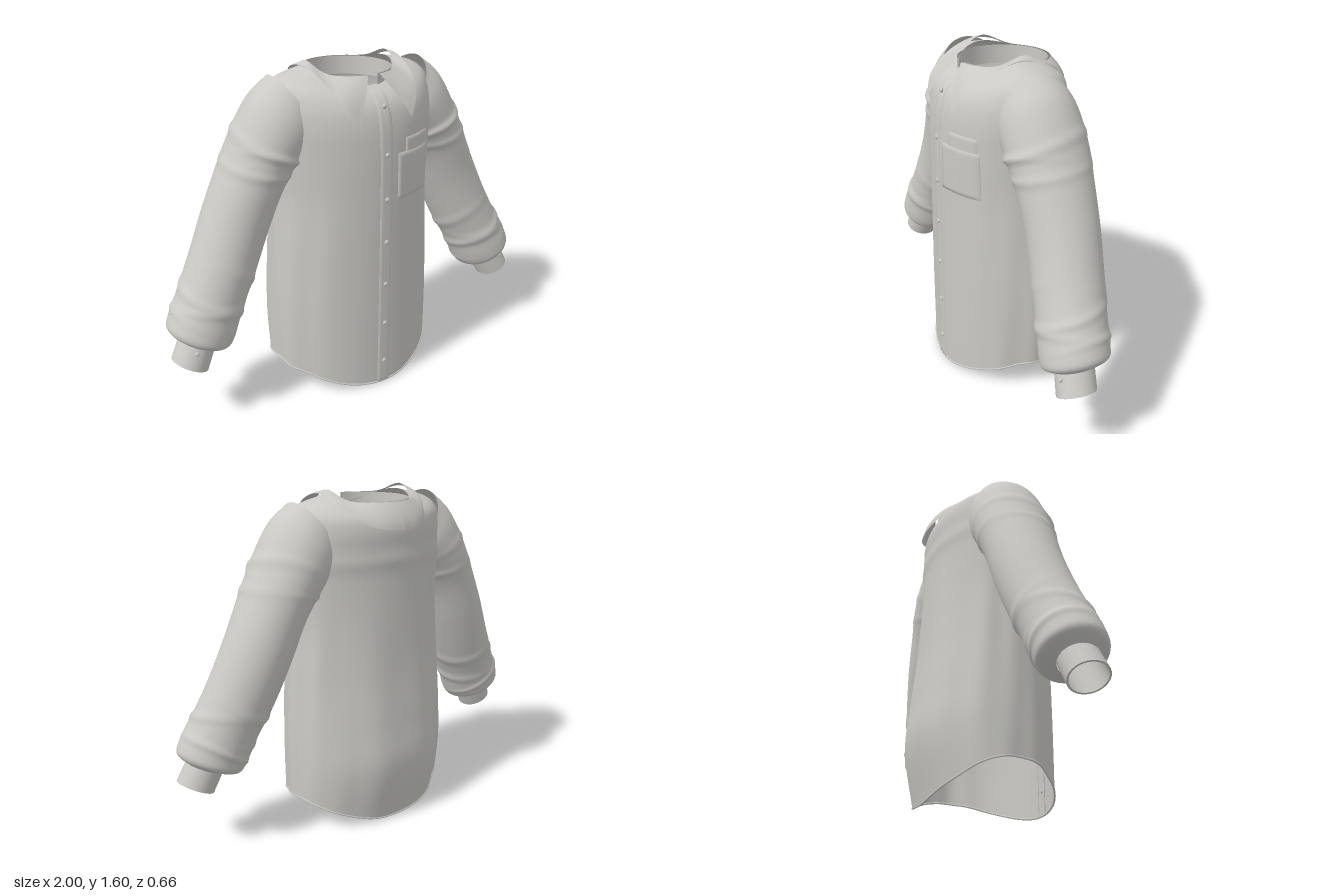
import * as THREE from 'three';
import { toCreasedNormals } from 'three/addons/utils/BufferGeometryUtils.js';

const cloth = new THREE.MeshStandardMaterial({ color: 0xcac9c5, side: THREE.DoubleSide });
cloth.name = 'light grey cloth';

// Surface from a rule fn(u, v) -> [x, y, z]; closed surfaces wrap around in u
function grid(nu, nv, fn, closed = false) {
  const pos = [], idx = [], cols = closed ? nu : nu + 1;
  for (let j = 0; j <= nv; j++)
    for (let i = 0; i < cols; i++) pos.push(...fn(i / nu, j / nv));
  for (let j = 0; j < nv; j++)
    for (let i = 0; i < nu; i++) {
      const a = j * cols + i, b = j * cols + (i + 1) % cols;
      idx.push(a, b, a + cols, b, b + cols, a + cols);
    }
  const g = new THREE.BufferGeometry();
  g.setAttribute('position', new THREE.Float32BufferAttribute(pos, 3));
  g.setIndex(idx);
  g.computeVertexNormals();
  return g;
}

function add(parent, name, geometry) {
  const m = new THREE.Mesh(geometry, cloth);
  m.name = name;
  parent.add(m);
  return m;
}

// Smooth interpolation of table rows [key, ...values]
function track(rows) {
  const it = new THREE.CubicInterpolant(rows.map(r => r[0]), rows.flatMap(r => r.slice(1)), rows[0].length - 1);
  return t => Array.from(it.evaluate(t));
}
const bump = (t, c, w) => Math.exp(-(((t - c) / w) ** 2));

// Body: height, half width, front depth, back depth
const TOP = 1.575;
const body = track([
  [0, .425, .328, .275], [.3, .432, .328, .328], [.5, .43, .328, .312],
  [.75, .42, .328, .285], [1, .41, .328, .27], [1.2, .42, .325, .262],
  [1.35, .43, .312, .262], [1.45, .42, .285, .262], [1.52, .385, .245, .25],
  [1.55, .32, .218, .238], [TOP, .21, .195, .222],
]);

// Point on the body at angle a (0 = front, + = left) and level v
function bodyPoint(a, v) {
  const s = Math.sin(a), c = Math.cos(a);
  const lift = .13 * s * s * Math.max(0, 1 - v / .5);       // curved shirt tail
  const sag = .075 * c * c * Math.max(0, (v - 1.3) / .275) ** 2; // neckline dip
  const y = v + lift - sag;
  const [w, front, back] = body(Math.min(TOP, v + lift));
  // Soft vertical folds, fading out at the shoulders, and the back yoke
  const fade = THREE.MathUtils.smoothstep(1.3 - v, 0, .6);
  let k = 1 + fade * (.01 * Math.sin(a * 9 + v * 1.5) * Math.abs(s) + .008 * Math.sin(a * 14 - v * 2) * s * s);
  if (c < 0) {
    k += fade * .022 * c * Math.cos(a * 8) * .6;
    k += .02 * -c * bump(v, 1.29, .035);
  }
  return [w * s * k, y, c * (c > 0 ? front : back) * k];
}

// Raised cloth panel that follows the chest
function panel(x0, x1, v0, v1, off, nu, nv) {
  return grid(nu, nv, (u, t) => {
    const edge = u === 0 || u === 1 || t === 0 || t === 1;
    const uu = THREE.MathUtils.clamp((u * nu - 1) / (nu - 2), 0, 1);
    const tt = THREE.MathUtils.clamp((t * nv - 1) / (nv - 2), 0, 1);
    const v = v0 + (v1 - v0) * tt;
    const p = bodyPoint(Math.asin((x0 + (x1 - x0) * uu) / body(v)[0]), v);
    p[2] += edge ? -.004 : off;
    return p;
  });
}

// Sleeve: step, centre x, y, z, tilt of section in degrees, half width, half depth
const sleeve = track([
  [0, .31, 1.4, 0, 60, .18, .165], [1, .37, 1.34, 0, 42, .185, .185],
  [2, .46, 1.22, -.003, 28, .165, .187], [3, .535, 1.09, -.003, 25, .156, .174],
  [4, .615, .915, 0, 25, .158, .165], [5, .7, .73, .018, 25, .158, .16],
  [6, .78, .58, .04, 25, .157, .155], [7, .835, .47, .055, 25, .162, .155],
  [8, .86, .422, .06, 25, .148, .145], [9, .874, .4, .07, 25, .088, .088],
]);
// Creases: step, width, height, angle of strongest point
const creases = [
  [1.75, .12, .05, .4], [2.15, .1, .06, 2.6], [2.5, .13, .04, 1], [5.2, .12, .05, 3.4],
  [5.75, .12, .05, .5], [6.3, .14, .06, 2.4], [6.85, .14, .05, 5],
];
function section(side, [x, y, z, tilt, hw, hd], a, k = 1) {
  const r = THREE.MathUtils.degToRad(tilt), c = Math.cos(a) * hw * k;
  return [side * (x + c * Math.cos(r)), y + c * Math.sin(r), z + Math.sin(a) * hd * k];
}

function makeSleeve(side) {
  const g = new THREE.Group();
  g.name = side > 0 ? 'leftSleeve' : 'rightSleeve';
  add(g, 'sleeve', grid(48, 108, (u, v) => {
    const a = u * Math.PI * 2, t = v * 9;
    let k = 1;
    for (const [c, w, h, at] of creases)
      k += h * bump(t, c + .25 * Math.sin(a + at), w) * (.5 + .5 * Math.cos(a - at));
    return section(side, sleeve(t), a, k);
  }, true));
  // Cuff with outer wall, rim and inner wall
  const cuffRows = [
    [.86, .43, .07, 25, .086, .088], [.92, .31, .086, 26, .088, .09],
    [.92, .31, .086, 26, .08, .082], [.86, .43, .07, 25, .078, .08],
  ];
  add(g, 'cuff', toCreasedNormals(
    grid(40, 3, (u, v) => section(side, cuffRows[Math.round(v * 3)], u * Math.PI * 2), true), .7));
  const button = add(g, 'cuffButton', new THREE.SphereGeometry(.01, 12, 8));
  button.position.set(side * .912, .395, .163);
  return g;
}

// Folded collar leaf, one half: upper fold and lower edge from front to back
function makeCollar(side) {
  const lower = [
    [.14, 1.355, .316], [.19, 1.44, .28], [.215, 1.49, .232], [.24, 1.55, .14], [.252, 1.582, .02],
    [.25, 1.56, -.1], [.195, 1.475, -.215], [.1, 1.437, -.28], [0, 1.43, -.295],
  ].map(p => new THREE.Vector3(...p));
  const curve = new THREE.CatmullRomCurve3(lower);
  return grid(40, 6, (u, t) => {
    const a = .14 + (Math.PI - .14) * u, s = Math.sin(a);
    const top = new THREE.Vector3(.218 * s, 1.55 + .05 * s ** 12, -.008 + .222 * Math.cos(a));
    const p = top.lerp(curve.getPoint(u), t);
    const bulge = .05 * 4 * t * (1 - t);
    return [side * p.x * (1 + bulge), p.y, p.z * (1 + bulge)];
  });
}

export function createModel() {
  const shirt = new THREE.Group();
  shirt.name = 'shirt';

  add(shirt, 'body', grid(128, 90, (u, v) => bodyPoint(u * Math.PI * 2, v * TOP), true));

  // Hem rolled along the shirt tail
  const hemPoints = Array.from({ length: 48 }, (_, i) => {
    const [x, y, z] = bodyPoint(i / 48 * Math.PI * 2, 0);
    return new THREE.Vector3(x, y + .005, z);
  });
  add(shirt, 'hem', new THREE.TubeGeometry(new THREE.CatmullRomCurve3(hemPoints, true), 120, .005, 6, true));

  // Button placket, buttons and chest pocket
  add(shirt, 'placket', panel(-.035, .03, .005, 1.54, .004, 6, 80));
  for (const y of [.125, .34, .555, .775, .99, 1.205, 1.425]) {
    const b = add(shirt, 'button', new THREE.SphereGeometry(.012, 12, 8));
    b.scale.z = .7;
    b.position.set(0, y, bodyPoint(0, y)[2] + .004);
  }
  add(shirt, 'pocket', panel(.065, .285, .98, 1.2, .008, 14, 14));
  add(shirt, 'pocketTop', panel(.115, .275, 1.17, 1.265, .006, 12, 8));

  // Standing neck band, open at the front
  add(shirt, 'neckBand', grid(64, 3, (u, v) => {
    const a = .14 + u * (Math.PI * 2 - .28);
    return [.208 * Math.sin(a), 1.46 + .09 * v, -.008 + .21 * Math.cos(a)];
  }));

  for (const side of [1, -1]) {
    shirt.add(makeSleeve(side));
    add(shirt, side > 0 ? 'leftCollar' : 'rightCollar', makeCollar(side));
  }
  return shirt;
}
